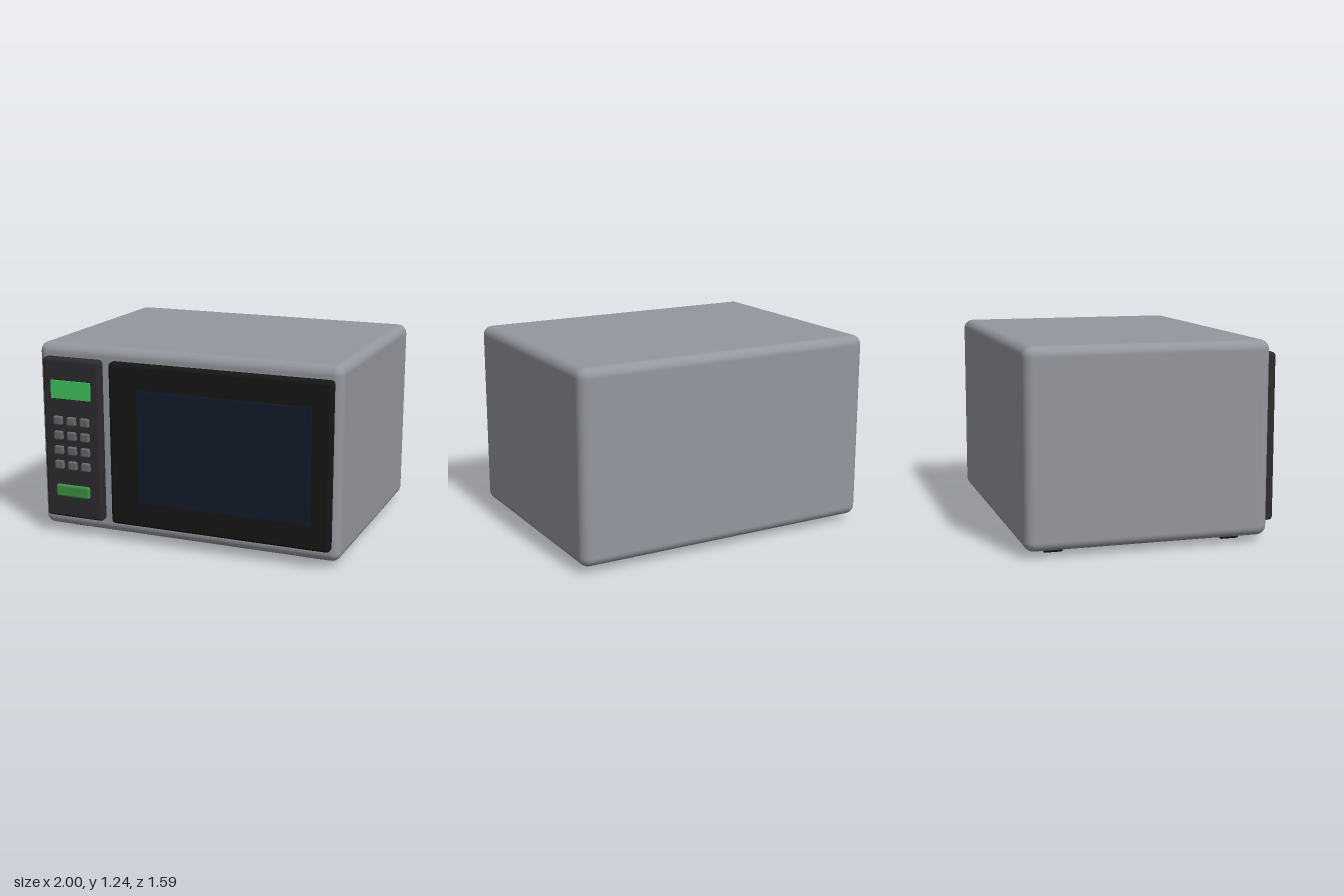
import * as THREE from 'three';
import { RoundedBoxGeometry } from 'three/addons/geometries/RoundedBoxGeometry.js';

const paint = (color) => new THREE.MeshStandardMaterial({ color });

export function createModel() {
  const model = new THREE.Group();
  const steel = paint(0x94979e), black = paint(0x161617), charcoal = paint(0x2c2c30);
  const glass = paint(0x141c2b), keyGrey = paint(0x66666b);
  const displayGreen = paint(0x3fc45c), startGreen = paint(0x3d9146);

  // Box given by its limits on each axis; radius 0 keeps the edges sharp
  function block(name, material, [x0, x1], [y0, y1], [z0, z1], radius = 0, parent = model) {
    const size = [x1 - x0, y1 - y0, z1 - z0];
    const geometry = radius
      ? new RoundedBoxGeometry(...size, 4, radius)
      : new THREE.BoxGeometry(...size);
    const mesh = new THREE.Mesh(geometry, material);
    mesh.name = name;
    mesh.position.set((x0 + x1) / 2, (y0 + y1) / 2, (z0 + z1) / 2);
    parent.add(mesh);
    return mesh;
  }

  // Casing
  block('casing', steel, [-1, 1], [0.04, 1.24], [-0.795, 0.72], 0.06);

  // Door with its window
  block('door', black, [-0.485, 0.955], [0.12, 1.16], [0.70, 0.775], 0.025);
  block('window', glass, [-0.285, 0.835], [0.285, 1.0], [0.765, 0.783]);

  // Control panel
  block('controlPanel', charcoal, [-0.945, -0.545], [0.12, 1.16], [0.70, 0.775], 0.025);
  block('display', displayGreen, [-0.88, -0.605], [0.905, 1.02], [0.765, 0.787]);
  block('startButton', startGreen, [-0.863, -0.627], [0.265, 0.342], [0.755, 0.795], 0.012);

  // Keypad, three columns by four rows
  const keypad = new THREE.Group();
  keypad.name = 'keypad';
  model.add(keypad);
  for (let row = 0; row < 4; row++) {
    for (let col = 0; col < 3; col++) {
      const x = -0.836 + col * 0.093, y = 0.762 - row * 0.0965;
      block('key', keyGrey, [x - 0.031, x + 0.031], [y - 0.028, y + 0.028], [0.755, 0.795], 0.01, keypad);
    }
  }

  // Feet
  for (const x of [-0.8, 0.8]) {
    for (const z of [0.524, -0.596]) {
      block('foot', black, [x - 0.06, x + 0.06], [0, 0.06], [z - 0.06, z + 0.06], 0.012);
    }
  }
  return model;
}
